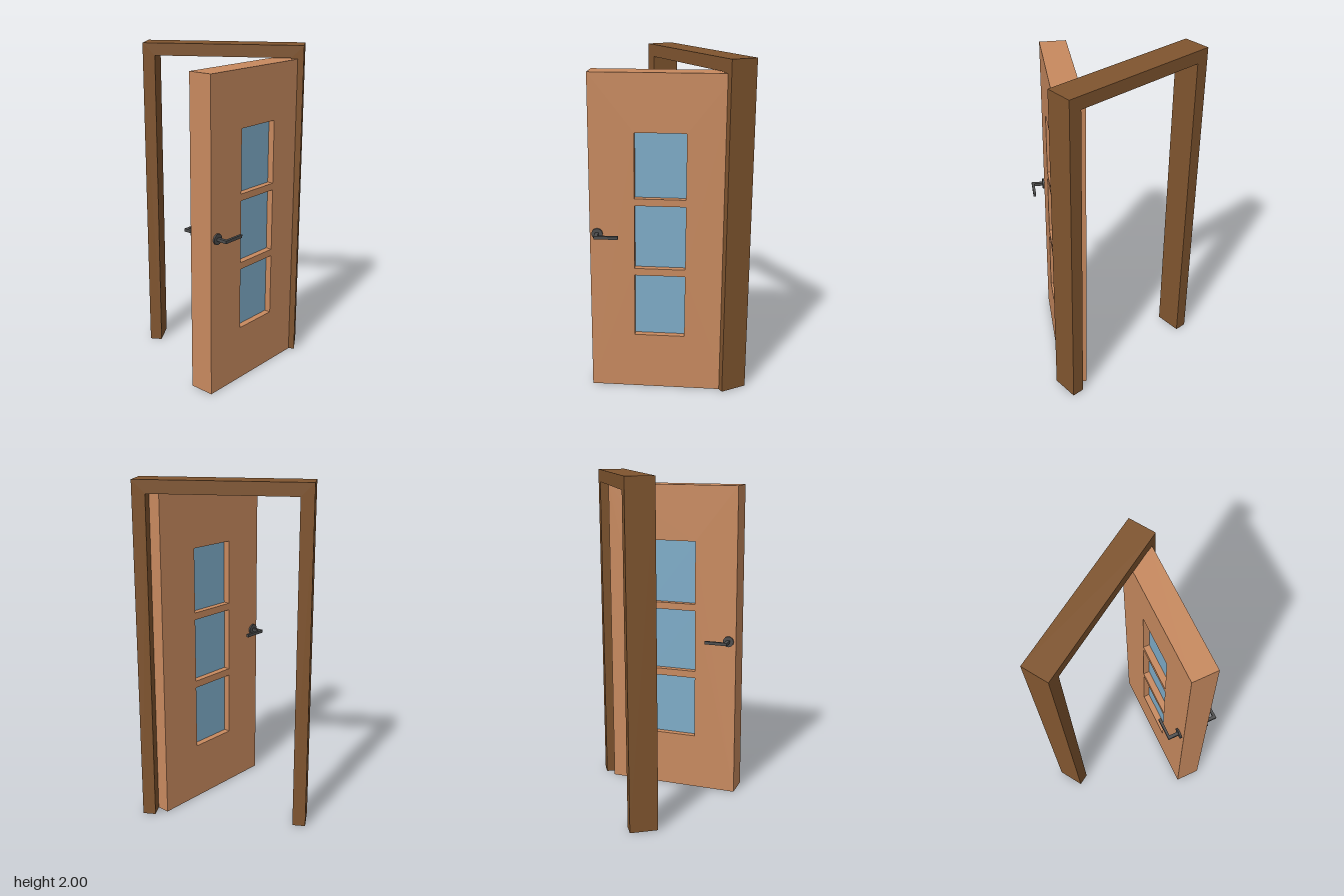
import * as THREE from 'three';

const paint = (color) => new THREE.MeshStandardMaterial({ color });
const frameWood = paint(0x80552f);
const doorWood = paint(0xc88a5f);
const glass = paint(0x7eacc8);
const metal = paint(0x4c4c4c);

const FRAME_DEPTH = 0.165, FRAME_W = 0.075;
const DOOR_W = 0.826, DOOR_H = 1.92, DOOR_T = 0.155;
const PANE_W = 0.298, PANE_H = 0.385, PANE_X = -0.414;
const PANE_BOTTOMS = [0.345, 0.773, 1.2];

function add(parent, name, geometry, material, x = 0, y = 0, z = 0) {
  const mesh = new THREE.Mesh(geometry, material);
  mesh.name = name;
  mesh.position.set(x, y, z);
  parent.add(mesh);
  return mesh;
}

function polygon(points, Type = THREE.Shape) {
  return new Type(points.map(([x, y]) => new THREE.Vector2(x, y)));
}

function slab(shape, depth) {
  const geometry = new THREE.ExtrudeGeometry(shape, { depth, bevelEnabled: false });
  return geometry.translate(0, 0, -depth / 2);
}

// Rose, stem and lever, pointing away from the face along +z
function makeHandle() {
  const handle = new THREE.Group();
  handle.name = 'handle';
  const rose = new THREE.CylinderGeometry(0.033, 0.033, 0.01, 16).rotateX(Math.PI / 2);
  add(handle, 'rose', rose, metal, 0, 0, 0.01);
  add(handle, 'stem', new THREE.BoxGeometry(0.02, 0.018, 0.056), metal, 0, 0, 0.04);
  add(handle, 'lever', new THREE.BoxGeometry(0.141, 0.018, 0.016), metal, 0.06, 0, 0.075);
  return handle;
}

function makeDoor() {
  const door = new THREE.Group();
  door.name = 'door';

  // Leaf with three openings, hinged at x = 0
  const leaf = polygon([[-DOOR_W, 0], [0, 0], [0, DOOR_H], [-DOOR_W, DOOR_H]]);
  const x0 = PANE_X - PANE_W / 2, x1 = PANE_X + PANE_W / 2;
  for (const y of PANE_BOTTOMS) {
    const top = y + PANE_H;
    leaf.holes.push(polygon([[x0, y], [x0, top], [x1, top], [x1, y]], THREE.Path));
    // Recessed pane
    add(door, 'windowPane', new THREE.BoxGeometry(PANE_W, PANE_H, DOOR_T / 2), glass,
      PANE_X, y + PANE_H / 2, 0);
  }
  add(door, 'doorLeaf', slab(leaf, DOOR_T), doorWood);

  // One handle on each face, both levers toward the hinge
  for (const side of [1, -1]) {
    const handle = makeHandle();
    handle.position.set(-DOOR_W + 0.045, 0.985, side * DOOR_T / 2);
    if (side < 0) handle.children.forEach((part) => { part.position.z *= -1; });
    door.add(handle);
  }
  return door;
}

export function createModel() {
  const model = new THREE.Group();
  model.name = 'openDoor';
  const frameZ = -0.3375, half = 0.49, inner = half - FRAME_W, head = 2 - FRAME_W;

  // Two jambs and the head in one outline
  const outline = polygon([
    [-half, 0], [-inner, 0], [-inner, head], [inner, head],
    [inner, 0], [half, 0], [half, 2], [-half, 2],
  ]);
  add(model, 'doorFrame', slab(outline, FRAME_DEPTH), frameWood, 0, 0, frameZ);

  // Door swung open about the hinge line
  const door = makeDoor();
  door.position.set(inner, 0, frameZ);
  door.rotation.y = 1;
  model.add(door);
  return model;
}
